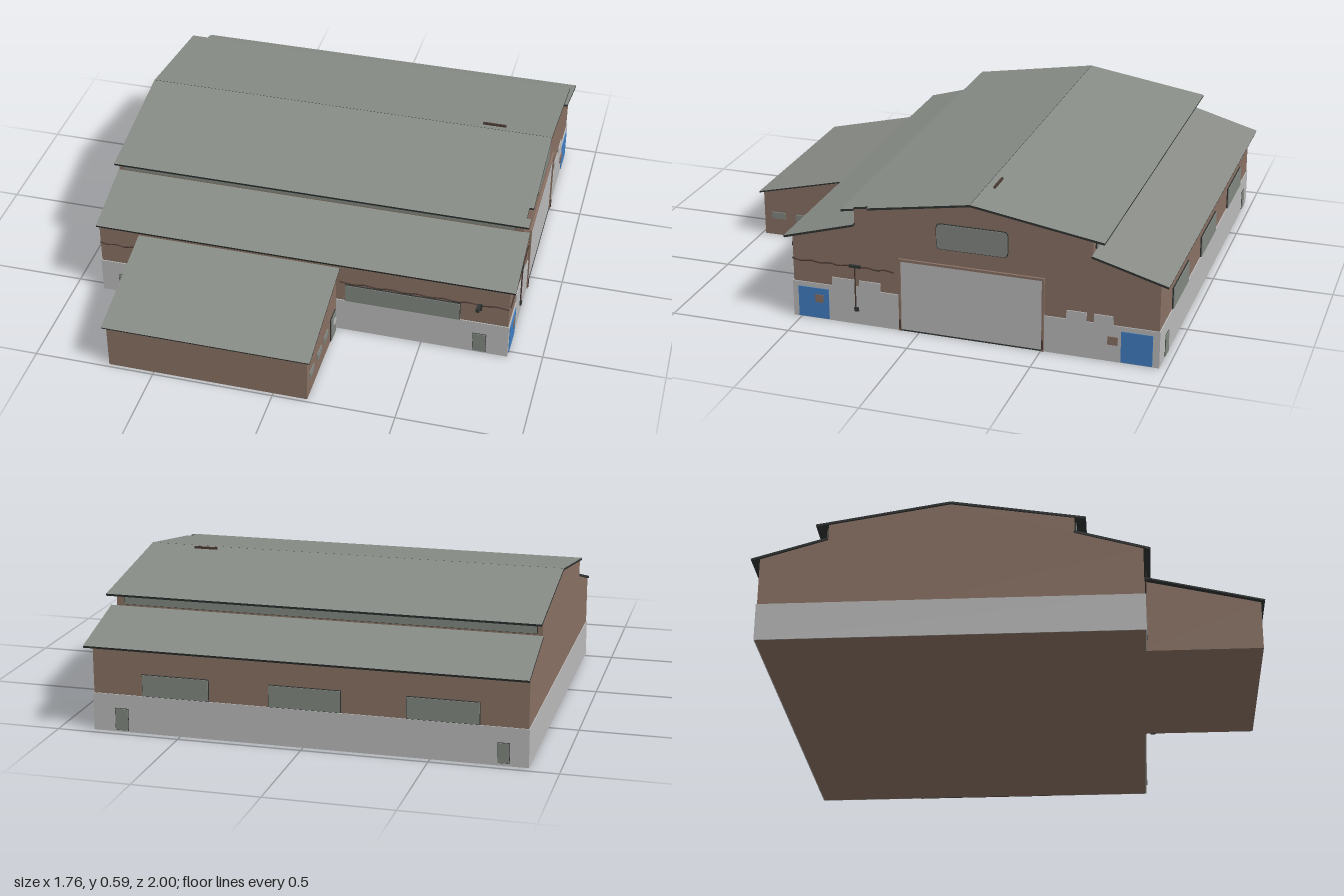
import * as THREE from 'three';

const paint = (name, color, extra = {}) => {
  const m = new THREE.MeshStandardMaterial({ color, ...extra });
  m.name = name;
  return m;
};

export function createModel() {
  const brick = paint('brown wall', 0x8a7164);
  const pale = paint('pale grey panel', 0xbbbbbb);
  const roofing = paint('grey roofing', 0x888c86);
  const glass = paint('grey glass', 0x838881);
  const dark = paint('dark trim', 0x303433);
  const blue = paint('blue door', 0x417fc4);
  const rust = paint('dark brown pipe', 0x4a3a34);

  const root = new THREE.Group();
  root.name = 'warehouse';

  const add = (name, geo, mat) => {
    const mesh = new THREE.Mesh(geo, mat);
    mesh.name = name;
    root.add(mesh);
    return mesh;
  };
  // Box given by its extents
  const box = (name, mat, x0, x1, y0, y1, z0, z1) =>
    add(name, new THREE.BoxGeometry(x1 - x0, y1 - y0, z1 - z0), mat)
      .position.set((x0 + x1) / 2, (y0 + y1) / 2, (z0 + z1) / 2);
  // Side profile of [z, y] points, extruded along x
  const profile = (name, mat, pts, x0, x1) => {
    const shape = new THREE.Shape(pts.map(([z, y]) => new THREE.Vector2(-z, y)));
    const geo = new THREE.ExtrudeGeometry(shape, { depth: x1 - x0, bevelEnabled: false });
    geo.rotateY(Math.PI / 2);
    geo.translate(x0, 0, 0);
    return add(name, geo, mat);
  };
  // Sloping sheet whose top runs from (z0, y0) to (z1, y1), z1 > z0
  const sheet = (name, x0, x1, z0, y0, z1, y1, t = 0.009) => {
    const geo = new THREE.BoxGeometry(x1 - x0, t, Math.hypot(z1 - z0, y1 - y0));
    const mesh = add(name, geo, [dark, dark, roofing, dark, dark, dark]);
    mesh.position.set((x0 + x1) / 2, (y0 + y1) / 2 - t / 2, (z0 + z1) / 2);
    mesh.rotation.x = -Math.atan2(y1 - y0, z1 - z0);
  };
  const pipe = (name, mat, pts, r) =>
    add(name, new THREE.TubeGeometry(
      new THREE.CatmullRomCurve3(pts.map((p) => new THREE.Vector3(...p))), 40, r, 5), mat);

  const L = -0.877, R = 0.855, F = 0.53, B = -0.965; // main walls

  // Main hall and front annex
  profile('mainHall', brick, [
    [F, 0], [F, 0.35], [0.265, 0.427], [0.265, 0.494], [-0.22, 0.571],
    [-0.70, 0.494], [-0.70, 0.427], [B, 0.35], [B, 0],
  ], L, R);
  profile('annex', brick, [[0.985, 0], [0.985, 0.197], [0.5, 0.31], [0.5, 0]], -0.69, 0.14);

  // Roofs
  const RL = -0.88, RR = 0.88;
  sheet('lowerFrontRoof', RL, RR, 0.262, 0.438, 0.557, 0.353);
  sheet('lowerBackRoof', RL, RR, -1, 0.353, -0.70, 0.438);
  sheet('upperBackRoof', RL, RR, -0.75, 0.497, -0.22, 0.583);
  const slopeY = (z) => 0.583 - (z + 0.22) * 0.086 / 0.53;
  const upper = (name, x0, x1, z0, z1) => sheet(name, x0, x1, z0, slopeY(z0), z1, slopeY(z1));
  upper('upperFrontRoof', RL, 0.862, -0.22, 0.31);
  upper('upperFrontRoofEdge', 0.862, RR, -0.22, 0.2); // gap left in the verge
  upper('upperFrontRoofCorner', 0.862, RR, 0.26, 0.31);
  sheet('annexRoof', -0.705, 0.155, 0.53, 0.316, 1, 0.203, 0.006);
  box('ridgeRod', rust, 0.58, 0.68, 0.578, 0.587, -0.258, -0.25);

  // Pale plinth round the hall
  const e = 0.004, H = 0.153;
  box('plinthFrontLeft', pale, 0.14, R + e, 0, H, F, F + e);
  box('plinthFrontRight', pale, L - 0.002, -0.69, 0, H, F, F + e);
  box('plinthBack', pale, L - 0.002, R + e, 0, H, B - e, B);
  box('plinthRightSide', pale, L - 0.003, L, 0, H, B - e, F + e);
  box('plinthGableFront', pale, R, R + e, 0, H, 0.082, F);
  box('plinthGableBack', pale, R, R + e, 0, H, B, -0.512);
  for (const [z0, z1] of [[0.27, 0.365], [0.16, 0.25], [-0.68, -0.60], [-0.785, -0.71]])
    box('raisedPanel', pale, R, R + e, H, 0.19, z0, z1);
  box('raisedPanelLink', pale, R, R + e, H, 0.162, 0.25, 0.27);

  // Large gable door with frame
  box('bigDoor', pale, R, R + 0.003, 0.004, 0.30, -0.503, 0.073);
  box('bigDoorSill', dark, R, R + 0.005, 0, 0.005, -0.503, 0.073);
  for (const z of [0.073, -0.512]) {
    box('bigDoorJamb', brick, R, R + 0.009, 0, 0.31, z, z + 0.009);
    box('jambGuard', rust, R, R + 0.012, 0.01, 0.05, z + 0.001, z + 0.008);
  }
  box('bigDoorLintel', brick, R, R + 0.009, 0.30, 0.31, -0.512, 0.082);

  // Blue doors and their square panels
  box('blueDoorFront', blue, R, R + 0.007, 0.003, 0.133, 0.38, 0.51);
  box('blueDoorBack', blue, R, R + 0.007, 0.003, 0.133, -0.942, -0.818);
  box('squarePanelFront', brick, R, R + 0.009, 0.072, 0.106, 0.403, 0.438);
  box('squarePanelBack', brick, R, R + 0.009, 0.072, 0.106, -0.805, -0.765);

  // Rounded gable window, dark rim behind glass
  const roundWindow = (name, mat, w, h, r, t) => {
    const a = w / 2, b = h / 2, s = new THREE.Shape();
    s.moveTo(-a + r, -b);
    s.lineTo(a - r, -b).quadraticCurveTo(a, -b, a, -b + r);
    s.lineTo(a, b - r).quadraticCurveTo(a, b, a - r, b);
    s.lineTo(-a + r, b).quadraticCurveTo(-a, b, -a, b - r);
    s.lineTo(-a, -b + r).quadraticCurveTo(-a, -b, -a + r, -b);
    const geo = new THREE.ExtrudeGeometry(s, { depth: t, bevelEnabled: false, curveSegments: 5 });
    geo.rotateY(Math.PI / 2);
    add(name, geo, mat).position.set(R, 0.427, -0.22);
  };
  roundWindow('gableWindowRim', dark, 0.292, 0.108, 0.02, 0.003);
  roundWindow('gableWindow', glass, 0.286, 0.102, 0.018, 0.006);

  // Windows on front and back: dark rim plus glass
  const pane = (name, x0, x1, y0, y1, z, dir) => {
    const plate = (n, mat, g, t) => box(n, mat, x0 - g, x1 + g, y0 - g, y1 + g,
      Math.min(z, z + dir * t), Math.max(z, z + dir * t));
    plate(name + 'Rim', dark, 0.002, 0.005);
    plate(name, glass, 0, 0.008);
  };
  pane('frontWindow', 0.18, 0.655, 0.155, 0.235, F, 1);
  for (const [x0, x1] of [[0.38, 0.65], [-0.15, 0.135], [-0.69, -0.41]])
    pane('backWindow', x0, x1, 0.156, 0.242, B, -1);
  pane('frontClerestory', -0.855, 0.82, 0.447, 0.483, 0.265, 1);
  pane('backClerestory', -0.855, 0.82, 0.447, 0.483, -0.70, -1);
  for (const [z, dir] of [[F, 1], [B, -1]]) {
    pane('smallDoorLeft', 0.715, 0.767, 0.008, 0.095, z, dir);
    pane('smallDoorRight', -0.805, -0.762, 0.012, 0.09, z, dir);
  }

  // Annex side windows and door
  for (const z of [0.918, 0.805, 0.703])
    box('annexWindow', glass, 0.14, 0.145, 0.077, 0.107, z - 0.031, z + 0.031);
  box('annexDoorRim', dark, 0.14, 0.144, 0.006, 0.118, 0.556, 0.632);
  box('annexDoor', glass, 0.14, 0.147, 0.009, 0.115, 0.56, 0.628);
  const oval = add('annexDoorOval', new THREE.CylinderGeometry(1, 1, 0.003, 16), pale);
  oval.rotation.z = Math.PI / 2;
  oval.scale.set(0.016, 1, 0.02);
  oval.position.set(0.1475, 0.075, 0.58);

  // Wall cables with a slight sag
  const sag = (n, f) => Array.from({ length: n }, (_, i) =>
    f(i / (n - 1), 0.248 + (i % 2 ? -0.003 : 0.003)));
  pipe('frontCableLeft', rust, sag(14, (t, y) => [0.155 + t * 0.7, y, F + 0.006]), 0.003);
  pipe('frontCableRight', rust, sag(6, (t, y) => [L + t * 0.175, y, F + 0.006]), 0.003);
  pipe('gableCable', rust, sag(12, (t, y) => [R + 0.004, y, F - t * 0.43]), 0.003);

  // Hanging pipe on the gable and lamp on the front
  pipe('gablePipe', rust, [[R + 0.007, 0.25, 0.265], [R + 0.007, 0.07, 0.265]], 0.003);
  box('gablePipeEnd', dark, R, R + 0.012, 0.058, 0.074, 0.252, 0.27);
  box('gablePipeTop', dark, R, R + 0.01, 0.245, 0.256, 0.24, 0.29);
  pipe('lampArm', dark, [[0.735, 0.24, F], [0.735, 0.262, 0.555], [0.735, 0.25, 0.58]], 0.004);
  box('lampHead', dark, 0.728, 0.742, 0.248, 0.264, 0.56, 0.586);
  box('lampBracket', dark, 0.737, 0.745, 0.222, 0.25, F, 0.54);

  return root;
}
